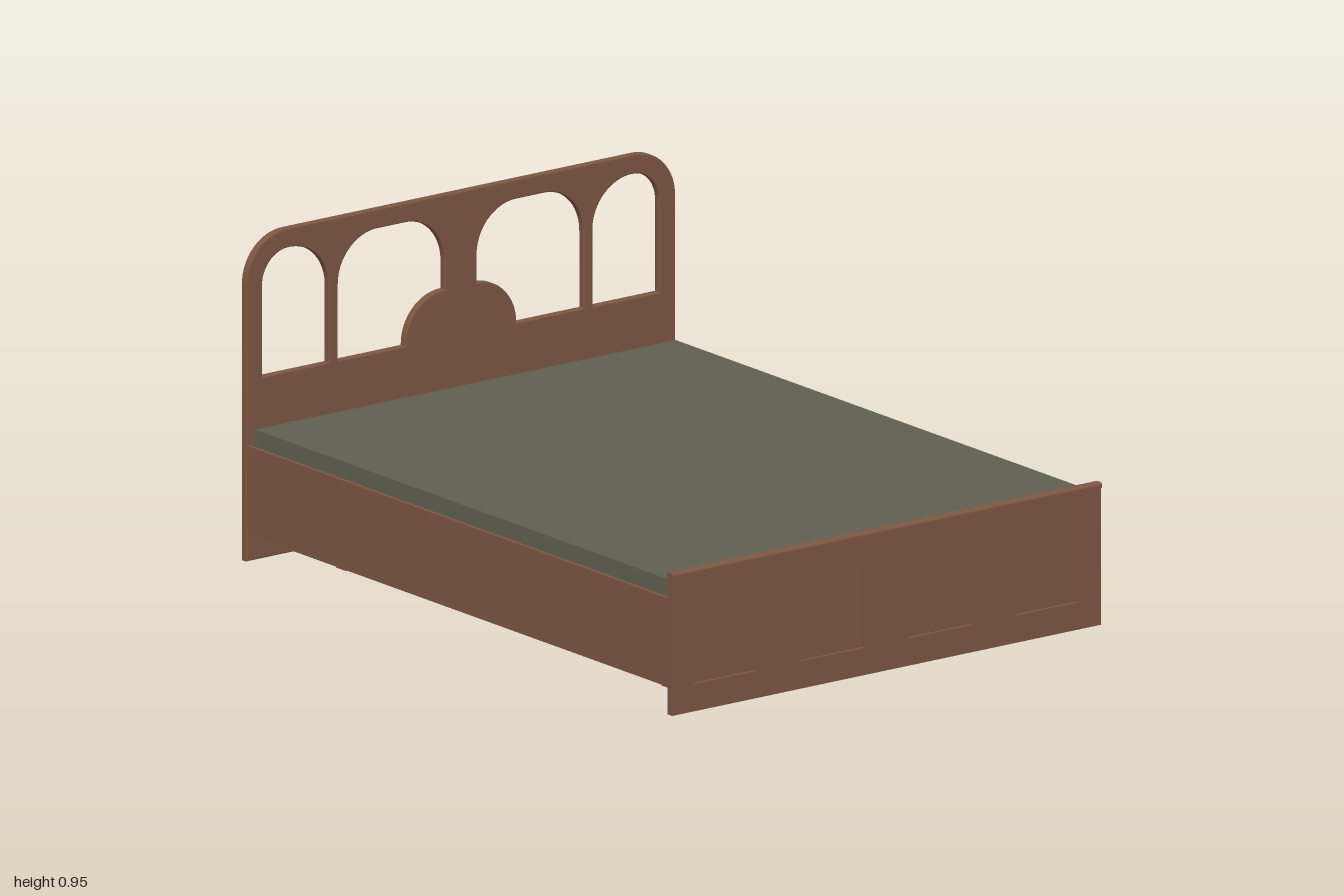
import * as THREE from 'three';

const wood = new THREE.MeshStandardMaterial({ color: 0x7d5642 });
wood.name = 'brown wood';
const fabric = new THREE.MeshStandardMaterial({ color: 0x606051 });
fabric.name = 'olive fabric';

export function createModel() {
  const model = new THREE.Group();

  const add = (name, geometry, material = wood) => {
    const mesh = new THREE.Mesh(geometry, material);
    mesh.name = name;
    model.add(mesh);
    return mesh;
  };

  // Box given by its minimum and maximum on each axis
  const box = (name, x0, x1, y0, y1, z0, z1, material = wood) =>
    add(name, new THREE.BoxGeometry(x1 - x0, y1 - y0, z1 - z0), material)
      .position.set((x0 + x1) / 2, (y0 + y1) / 2, (z0 + z1) / 2);

  const rectangle = (Type, x0, x1, y0, y1) => new Type([
    [x0, y0], [x1, y0], [x1, y1], [x0, y1],
  ].map(([x, y]) => new THREE.Vector2(x, y)));

  // Headboard outline with rounded top corners
  const W = 0.762, H = 0.953, R = 0.143, PI = Math.PI;
  const outline = new THREE.Shape();
  outline.moveTo(-W, 0);
  outline.lineTo(W, 0);
  outline.absarc(W - R, H - R, R, 0, PI / 2);
  outline.absarc(R - W, H - R, R, PI / 2, PI);
  outline.closePath();

  // Two arched openings per side; s mirrors the points
  const opening = (s, draw) => {
    const path = new THREE.Path();
    draw(path);
    const points = path.getPoints(16).map((p) => new THREE.Vector2(s * p.x, p.y));
    outline.holes.push(new THREE.Path(points));
  };
  for (const s of [1, -1]) {
    opening(s, (p) => {
      p.moveTo(0.468, 0.533);
      p.lineTo(0.705, 0.533);
      p.absarc(0.61, 0.801, 0.095, 0, PI / 2);
      p.absarc(0.608, 0.756, 0.14, PI / 2, PI);
    });
    opening(s, (p) => {
      p.moveTo(0.198, 0.533);
      p.lineTo(0.436, 0.533);
      p.absarc(0.296, 0.756, 0.14, 0, PI / 2);
      p.absarc(0.197, 0.756, 0.14, PI / 2, PI);
      p.lineTo(0.057, 0.675);
      p.absarc(0.057, 0.534, 0.141, PI / 2, 0, true);
    });
  }
  const bevel = 0.004;
  add('headboard', new THREE.ExtrudeGeometry(outline, {
    depth: 0.024 - 2 * bevel, curveSegments: 16, bevelEnabled: true, bevelSegments: 2,
    bevelSize: bevel, bevelThickness: bevel, bevelOffset: -bevel,
  })).position.z = -1 + bevel;

  // Footboard with four recessed panels
  box('footboardBacking', -W, W, 0, 0.403, 0.974, 0.984);
  const face = rectangle(THREE.Shape, -W, W, 0, 0.403);
  for (const x of [-0.573, -0.191, 0.191, 0.573])
    face.holes.push(rectangle(THREE.Path, x - 0.113, x + 0.113, 0.08, 0.325));
  add('footboardFace', new THREE.ExtrudeGeometry(face, { depth: 0.012, bevelEnabled: false }))
    .position.z = 0.984;

  // Rounded cap along the top of the footboard
  const cap = new THREE.Shape();
  cap.moveTo(-0.015, 0);
  cap.lineTo(0.015, 0);
  cap.absarc(0.007, 0.008, 0.008, 0, PI / 2);
  cap.absarc(-0.007, 0.008, 0.008, PI / 2, PI);
  const capMesh = add('footboardCap',
    new THREE.ExtrudeGeometry(cap, { depth: 2 * W, bevelEnabled: false, curveSegments: 6 }));
  capMesh.rotation.y = PI / 2;
  capMesh.position.set(-W, 0.402, 0.985);

  // Heights of the underside and top of the support frame
  const low = 0.16, top = 0.195;

  // Side rails with the ledges that carry the mattress
  for (const s of [1, -1]) {
    const side = (name, a, b, y0, y1) =>
      box(name, Math.min(s * a, s * b), Math.max(s * a, s * b), y0, y1, -0.976, 0.974);
    side('sideRail', 0.748, 0.76, 0.08, 0.34);
    side('sideLedge', 0.712, 0.748, low, top);
  }
  box('headLedge', -0.712, 0.712, low, top, -0.976, -0.94);
  box('footLedge', -0.712, 0.712, low, top, 0.94, 0.974);

  // Mattress
  box('mattress', -0.747, 0.747, top, 0.39, -0.956, 0.956, fabric);

  // Support frame: three long beams, two cross beams and six legs
  const half = 0.022;
  for (const x of [-0.575, 0, 0.575]) {
    box('longBeam', x - half, x + half, low, top, -0.732, 0.732);
    for (const z of [-0.754, 0.754])
      box('leg', x - half, x + half, 0, low, z - half, z + half);
  }
  for (const z of [-0.754, 0.754])
    box('crossBeam', -0.597, 0.597, low, top, z - half, z + half);

  return model;
}
